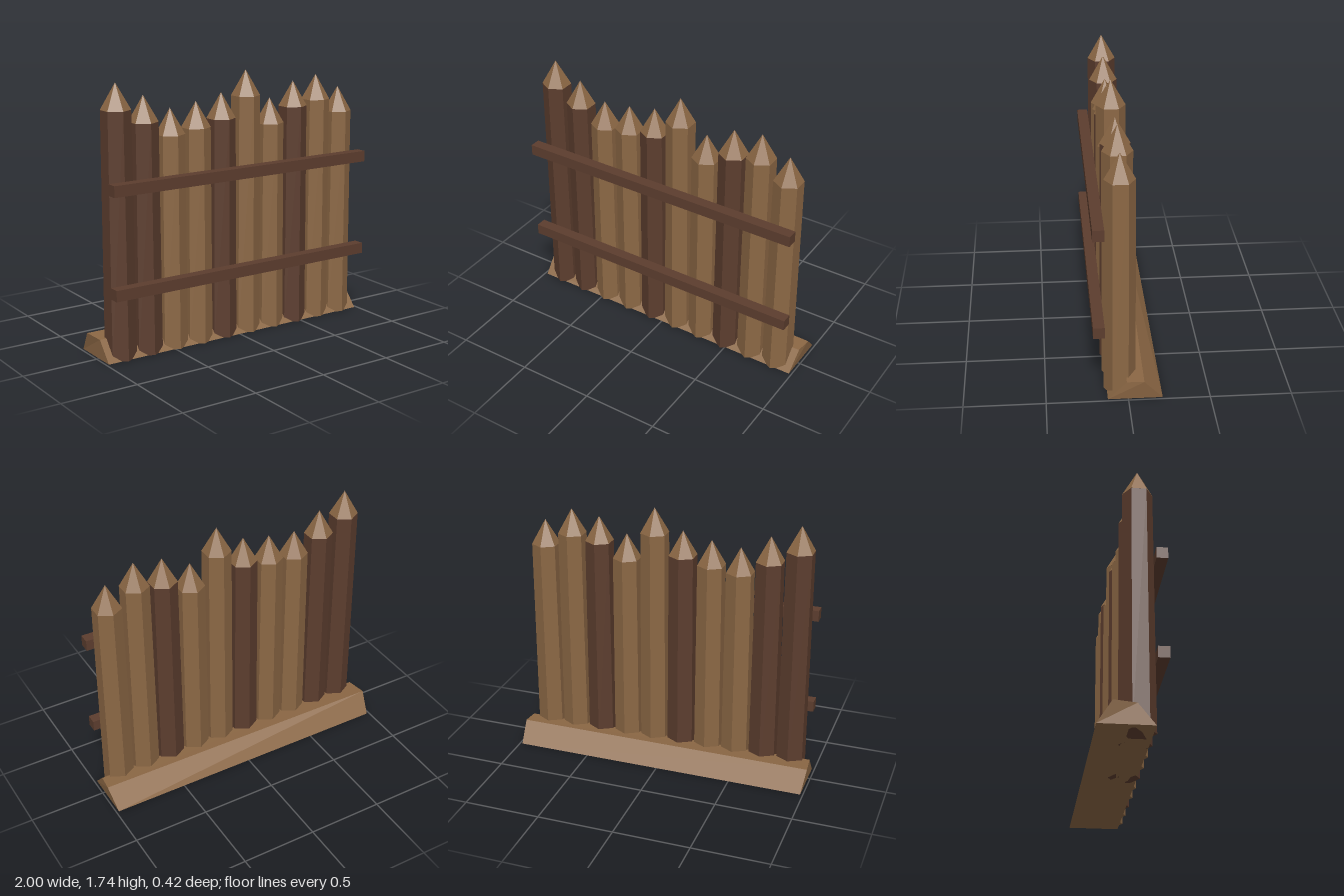
import * as THREE from 'three';

export function createModel() {
  const lightWood = new THREE.MeshStandardMaterial({ name: 'lightWood', color: 0x8b6744, flatShading: true });
  const darkWood = new THREE.MeshStandardMaterial({ name: 'darkWood', color: 0x5c3d2e, flatShading: true });

  const fence = new THREE.Group();
  fence.name = 'palisadeFence';

  const add = (parent, name, geometry, material, x, y, z) => {
    const mesh = new THREE.Mesh(geometry, material);
    mesh.name = name;
    mesh.position.set(x, y, z);
    parent.add(mesh);
    return mesh;
  };

  // Hexagonal posts, each with a sharpened tip
  const tipHeight = 0.165;
  const shoulders = [1.56, 1.47, 1.375, 1.4, 1.44, 1.57, 1.375, 1.47, 1.5, 1.405];
  const darkPosts = [0, 1, 4, 7];
  shoulders.forEach((height, i) => {
    const post = new THREE.Group();
    post.name = `post${i + 1}`;
    post.position.set((i - 4.5) * 0.1895, 0, 0.045);
    const wood = darkPosts.includes(i) ? darkWood : lightWood;
    add(post, 'postShaft', new THREE.CylinderGeometry(0.093, 0.1, height, 6), wood, 0, height / 2, 0);
    add(post, 'postTip', new THREE.ConeGeometry(0.094, tipHeight, 6), lightWood, 0, height + tipHeight / 2, 0);
    fence.add(post);
  });

  // Horizontal rails across the front
  for (const [name, y] of [['lowerRail', 0.457], ['upperRail', 1.102]]) {
    add(fence, name, new THREE.BoxGeometry(1.93, 0.072, 0.07), darkWood, 0, y, 0.176);
  }

  // Sloped earth-bank beam: a box with its top corners drawn in unevenly
  const bank = new THREE.BoxGeometry(2, 2, 2);
  const p = bank.attributes.position;
  for (let i = 0; i < p.count; i++) {
    const right = p.getX(i) > 0;
    const front = p.getZ(i) > 0;
    if (p.getY(i) < 0) p.setXYZ(i, right ? 0.983 : -0.983, 0, front ? 0.125 : -0.21);
    else if (front) p.setXYZ(i, right ? 0.99 : -0.985, right ? 0.122 : 0.13, right ? 0.01 : 0.02);
    else p.setXYZ(i, right ? 1 : -1, right ? 0.125 : 0.137, right ? -0.095 : -0.12);
  }
  bank.computeVertexNormals();
  add(fence, 'baseBeam', bank, lightWood, 0, 0, 0);

  return fence;
}
